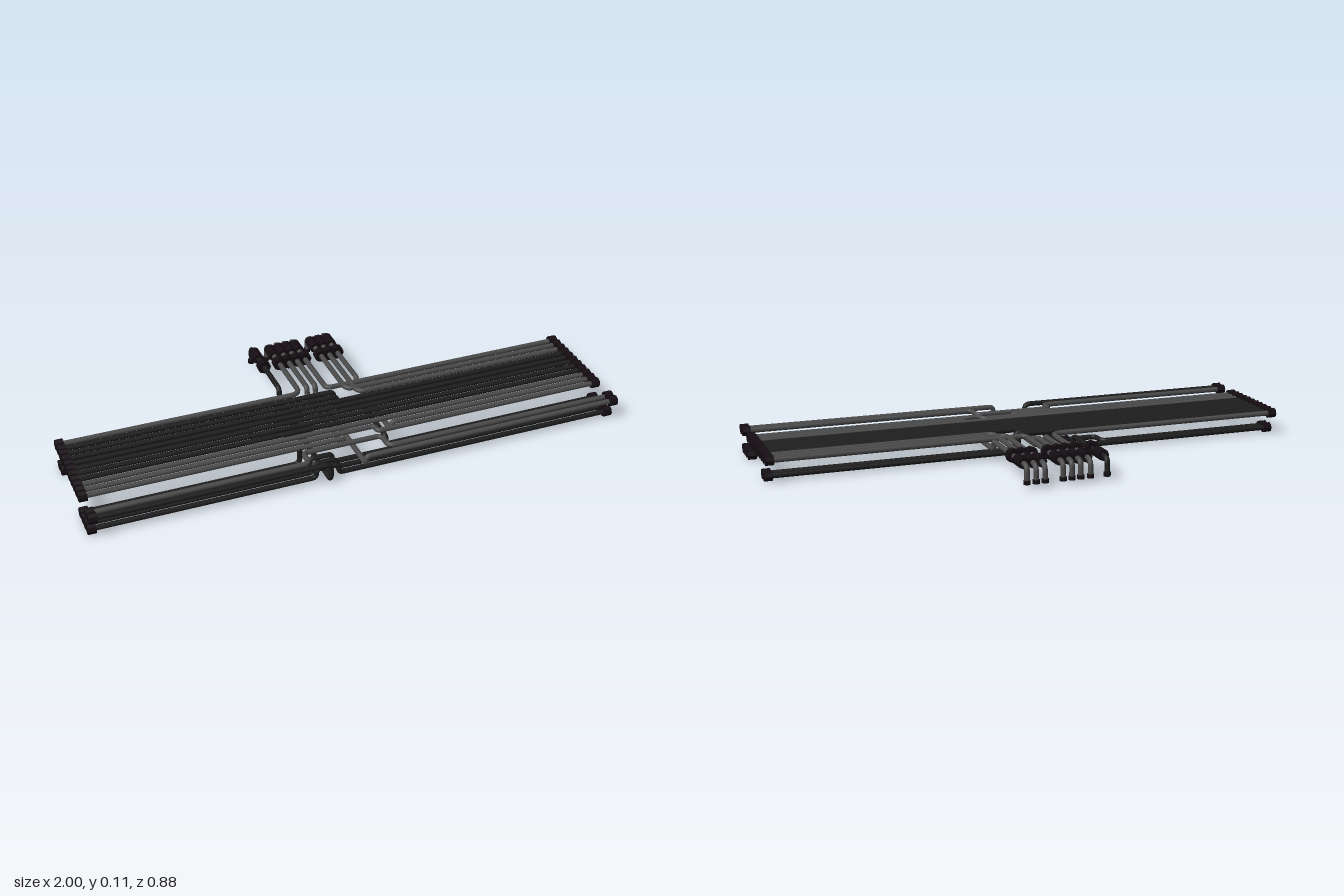
import * as THREE from 'three';

const TOP = 0.087, MID = 0.055, LOW = 0.021, END = 0.985, R = 0.0098;
const dark = new THREE.MeshStandardMaterial({ color: 0x1c1c1c });
const grey = new THREE.MeshStandardMaterial({ color: 0x4a4a4a });
const fitting = new THREE.MeshStandardMaterial({ color: 0x140d12, flatShading: true });

// Path through corner points, each corner rounded; samples only the bends
class PipePath extends THREE.Curve {
  constructor(corners, bend) {
    super();
    const p = corners.map(c => new THREE.Vector3(...c));
    const dir = (a, b) => b.clone().sub(a).normalize();
    this.pts = [p[0]];
    this.tan = [dir(p[0], p[1])];
    for (let i = 1; i < p.length - 1; i++) {
      const din = dir(p[i - 1], p[i]), dout = dir(p[i], p[i + 1]);
      const r = Math.min(bend, p[i].distanceTo(p[i - 1]) * 0.48, p[i].distanceTo(p[i + 1]) * 0.48);
      const q = new THREE.QuadraticBezierCurve3(
        p[i].clone().addScaledVector(din, -r), p[i], p[i].clone().addScaledVector(dout, r));
      for (let k = 0; k <= 5; k++) {
        this.pts.push(q.getPoint(k / 5));
        this.tan.push(q.getTangent(k / 5));
      }
    }
    const n = p.length;
    this.pts.push(p[n - 1]);
    this.tan.push(dir(p[n - 2], p[n - 1]));
  }
  pick(list, t) { return list[Math.round(t * (list.length - 1))].clone(); }
  getPoint(t) { return this.pick(this.pts, t); }
  getPointAt(t) { return this.pick(this.pts, t); }
  getTangent(t) { return this.pick(this.tan, t); }
  getTangentAt(t) { return this.pick(this.tan, t); }
}

export function createModel() {
  const model = new THREE.Group();

  function pipe(name, corners, mat = dark, bend = 0.022) {
    const path = new PipePath(corners, bend);
    const mesh = new THREE.Mesh(new THREE.TubeGeometry(path, path.pts.length - 1, R, 10, false), mat);
    mesh.name = name;
    model.add(mesh);
  }

  // Eight-sided collar along the given axis
  function collar(name, x, y, z, radius, length, axis) {
    const g = new THREE.CylinderGeometry(radius, radius, length, 8);
    if (axis === 'x') g.rotateZ(Math.PI / 2);
    if (axis === 'z') g.rotateX(Math.PI / 2);
    const mesh = new THREE.Mesh(g, fitting);
    mesh.name = name;
    mesh.position.set(x, y, z);
    model.add(mesh);
  }

  const endCap = (side, y, z) => collar('endCap', side * END, y, z, 0.019, 0.03, 'x');

  // Row depths, counted from the back
  const row = i => -0.0467 + i * 0.0333;
  const topRows = [0, 1, 2, 3, 4, 5, 6, 7, 8, 9, 10, 13, 14];
  const lowRows = [1, 2, 10, 11, 12, 13];
  for (const side of [-1, 1]) {
    topRows.forEach(i => endCap(side, TOP, row(i)));
    lowRows.forEach(i => endCap(side, LOW, row(i)));
  }

  // Straight upper pipes
  for (let i = 3; i <= 8; i++) {
    pipe('upperPipe', [[-END, TOP, row(i)], [END, TOP, row(i)]], i === 8 ? grey : dark);
  }

  // Upper pipes that shift sideways
  pipe('offsetPipe', [[-END, TOP, row(9)], [0.1, TOP, row(9)], [0.1, TOP, row(10)], [END, TOP, row(10)]], grey);
  pipe('frontLoopPipe', [[-END, TOP, row(13)], [-0.2, TOP, row(13)], [-0.2, TOP, row(11)],
    [0.1, TOP, row(11)], [0.1, TOP, row(13)], [END, TOP, row(13)]], grey);

  // Upper pipes dropping to the lower level
  for (const i of [1, 2]) {
    pipe('droppingPipe', [[-END, TOP, row(i)], [0.05, TOP, row(i)], [0.05, LOW, row(i)], [END, LOW, row(i)]]);
  }

  // Lower pipes hopping over the low cross line
  for (const i of [11, 12, 13]) {
    pipe('lowerPipe', [[-END, LOW, row(i)], [-0.175, LOW, row(i)], [-0.175, MID, row(i)],
      [-0.09, MID, row(i)], [-0.09, LOW, row(i)], [END, LOW, row(i)]]);
  }
  pipe('lowerLeftPipe', [[-END, LOW, row(10)], [-0.2, LOW, row(10)], [-0.2, TOP, row(10)]]);
  pipe('linkPipe', [[0.133, TOP, row(4)], [0.133, MID, row(4)], [0.133, MID, row(10)],
    [0.133, LOW, row(10)], [END, LOW, row(10)]]);

  // Outlet branches: run to the back, then turn down
  const tail = x => [[x, TOP, -0.425], [x, 0.025, -0.425]];
  const under = (x, z) => [[x, MID, z], [x, MID, -0.075], [x, TOP, -0.075], ...tail(x)];

  pipe('outletPipe', [[-END, TOP, row(14)], [-0.133, TOP, row(14)], [-0.133, LOW, row(14)],
    [-0.133, LOW, -0.105], [-0.133, TOP, -0.105], ...tail(-0.133)]);
  pipe('outletPipe', [[-END, TOP, row(0)], [-0.07, TOP, row(0)], ...tail(-0.07)], grey, 0.04);
  pipe('outletPipe', [[-END, TOP, row(10)], [-0.033, TOP, row(10)], ...under(-0.033, row(10))], grey);
  pipe('outletPipe', [[END, TOP, row(14)], [0, TOP, row(14)], ...under(0, row(14))], grey);
  pipe('outletPipe', [[END, TOP, row(0)], [0.033, TOP, row(0)], ...tail(0.033)], grey);
  pipe('outletPipe', [[END, TOP, row(1)], [0.1, TOP, row(1)], ...tail(0.1)], grey, 0.03);
  pipe('outletPipe', [[END, TOP, row(2)], [0.133, TOP, row(2)], ...tail(0.133)], grey, 0.03);
  pipe('outletPipe', [[END, TOP, row(9)], [0.167, TOP, row(9)], ...under(0.167, row(9))], grey);

  // Flange, valve body and nozzle on every outlet
  for (const x of [-0.133, -0.07, -0.033, 0, 0.033, 0.1, 0.133, 0.167]) {
    collar('flange', x, TOP, -0.28, 0.026, 0.026, 'z');
    collar('valveBody', x, TOP, -0.362, 0.021, 0.06, 'z');
    collar('nozzle', x, 0.028, -0.425, 0.0135, 0.014, 'y');
  }

  // Cross fittings on the low line and the pipes feeding them
  pipe('crossFeed', [[-END, LOW, row(1)], [-0.133, LOW, row(1)]]);
  pipe('crossFeed', [[-END, LOW, row(2)], [-0.3, LOW, row(2)], [-0.3, LOW, row(4)], [-0.133, LOW, row(4)]]);
  for (const i of [1, 4]) {
    collar('crossFitting', -0.133, LOW, row(i), 0.0165, 0.11, 'x');
    collar('crossFitting', -0.133, LOW, row(i), 0.0165, 0.105, 'z');
  }
  return model;
}
